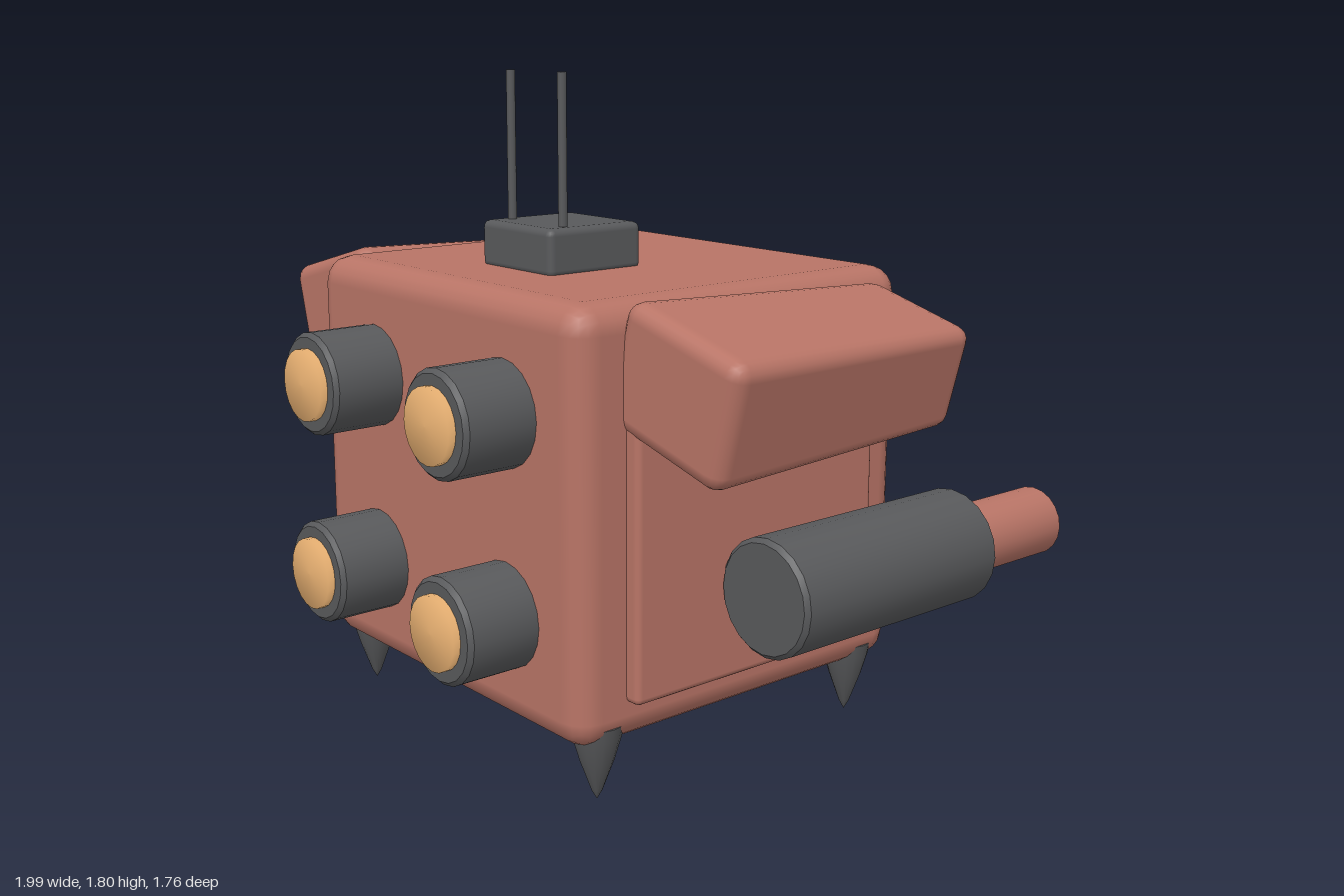
import * as THREE from 'three';
import { toCreasedNormals } from 'three/addons/utils/BufferGeometryUtils.js';
import { RoundedBoxGeometry } from 'three/addons/geometries/RoundedBoxGeometry.js';

const paint = (color) => new THREE.MeshStandardMaterial({ color });
const RED = paint(0xb87466);
const DARK = paint(0x58595b);
const GOLD = paint(0xeab273);
const ORANGE = paint(0xe0664a);

export function createModel() {
  const model = new THREE.Group();

  const add = (name, geometry, material, x = 0, y = 0, z = 0) => {
    const mesh = new THREE.Mesh(geometry, material);
    mesh.name = name;
    mesh.position.set(x, y, z);
    model.add(mesh);
    return mesh;
  };

  // rounded block given by its lower and upper limits on each axis
  const block = (name, material, [x0, x1], [y0, y1], [z0, z1], radius) =>
    add(name, new RoundedBoxGeometry(x1 - x0, y1 - y0, z1 - z0, 2, radius), material,
      (x0 + x1) / 2, (y0 + y1) / 2, (z0 + z1) / 2);

  const lathe = (profile, sides = 20) =>
    new THREE.LatheGeometry(profile.map(([r, h]) => new THREE.Vector2(r, h)), sides);

  // drum along z from z0 to z1 (either direction), with narrow bevelled rims
  const drum = (name, material, r, x, y, z0, z1) => {
    const len = Math.abs(z1 - z0), b = 0.012;
    const g = lathe([[0, 0], [r - b, 0], [r, b], [r, len - b], [r - b, len], [0, len]]);
    const mesh = add(name, toCreasedNormals(g, 0.6), material, x, y, z0);
    mesh.rotation.x = z1 > z0 ? Math.PI / 2 : -Math.PI / 2;
  };

  // softly shaded round lens facing along z
  const lens = (name, material, r, x, y, z0, z1) => {
    const len = Math.abs(z1 - z0);
    const mesh = add(name, lathe([[r, 0], [r, len - 0.004], [0, len]]), material, x, y, z0);
    mesh.rotation.x = z1 > z0 ? Math.PI / 2 : -Math.PI / 2;
  };

  // main hull
  block('body', RED, [-0.6, 0.6], [0.16, 1.28], [-0.48, 0.65], 0.075);

  // four lamps on the front
  for (const x of [-0.3, 0.3]) {
    for (const y of [0.455, 0.98]) {
      drum('lampHousing', DARK, 0.14, x, y, 0.6, 0.855);
      lens('lampLens', GOLD, 0.098, x, y, 0.83, 0.88);
    }
  }

  // shoulder block: a rounded box that narrows towards the back
  const shoulder = new RoundedBoxGeometry(0.42, 0.33, 0.85, 2, 0.045);
  const pos = shoulder.attributes.position;
  for (let i = 0; i < pos.count; i++) {
    const s = THREE.MathUtils.mapLinear(pos.getZ(i), -0.425, 0.425, 0.84, 1);
    pos.setXY(i, pos.getX(i) * s, pos.getY(i) * s);
  }

  for (const side of [-1, 1]) {
    // side panel and tilted shoulder
    const panel = [0.56 * side, 0.642 * side].sort((a, b) => a - b);
    block('sidePanel', RED, panel, [0.27, 1.16], [-0.33, 0.5], 0.018);
    add('shoulder', shoulder, RED, 0.76 * side, 1.08, 0.085)
      .rotation.z = -side * THREE.MathUtils.degToRad(15);

    // side thruster pointing backwards
    const x = 0.79 * side;
    drum('thrusterCasing', DARK, 0.156, x, 0.53, 0.22, -0.5);
    drum('thrusterBarrel', RED, 0.097, x, 0.53, -0.46, -0.86);
    lens('thrusterTip', ORANGE, 0.06, x, 0.53, -0.83, -0.88);

    // pointed feet
    for (const z of [0.54, -0.365]) {
      const foot = lathe([[0, 0], [0.014, 0.025], [0.045, 0.11], [0.064, 0.175], [0.07, 0.21], [0, 0.21]], 16);
      add('foot', toCreasedNormals(foot, 0.7), DARK, 0.53 * side, 0, z);
    }

    // antenna rods
    add('antenna', new THREE.CylinderGeometry(0.012, 0.012, 0.42, 10), DARK, 0.113 * side, 1.59, 0.315);
  }
  block('antennaBase', DARK, [-0.155, 0.155], [1.27, 1.4], [0.08, 0.39], 0.02);

  // back plate with window and vents
  block('backPlate', RED, [-0.49, 0.49], [0.365, 1.15], [-0.57, -0.42], 0.03);
  block('windowFrame', DARK, [-0.4, 0.4], [0.855, 1.095], [-0.615, -0.53], 0.02);
  add('window', new THREE.BoxGeometry(0.68, 0.11, 0.04), ORANGE, 0, 0.975, -0.613);
  for (let i = 0; i < 4; i++) {
    const x = (i - 1.5) * 0.222;
    block('vent', DARK, [x - 0.085, x + 0.085], [0.305, 0.68], [-0.603, -0.56], 0.008);
  }

  return model;
}
